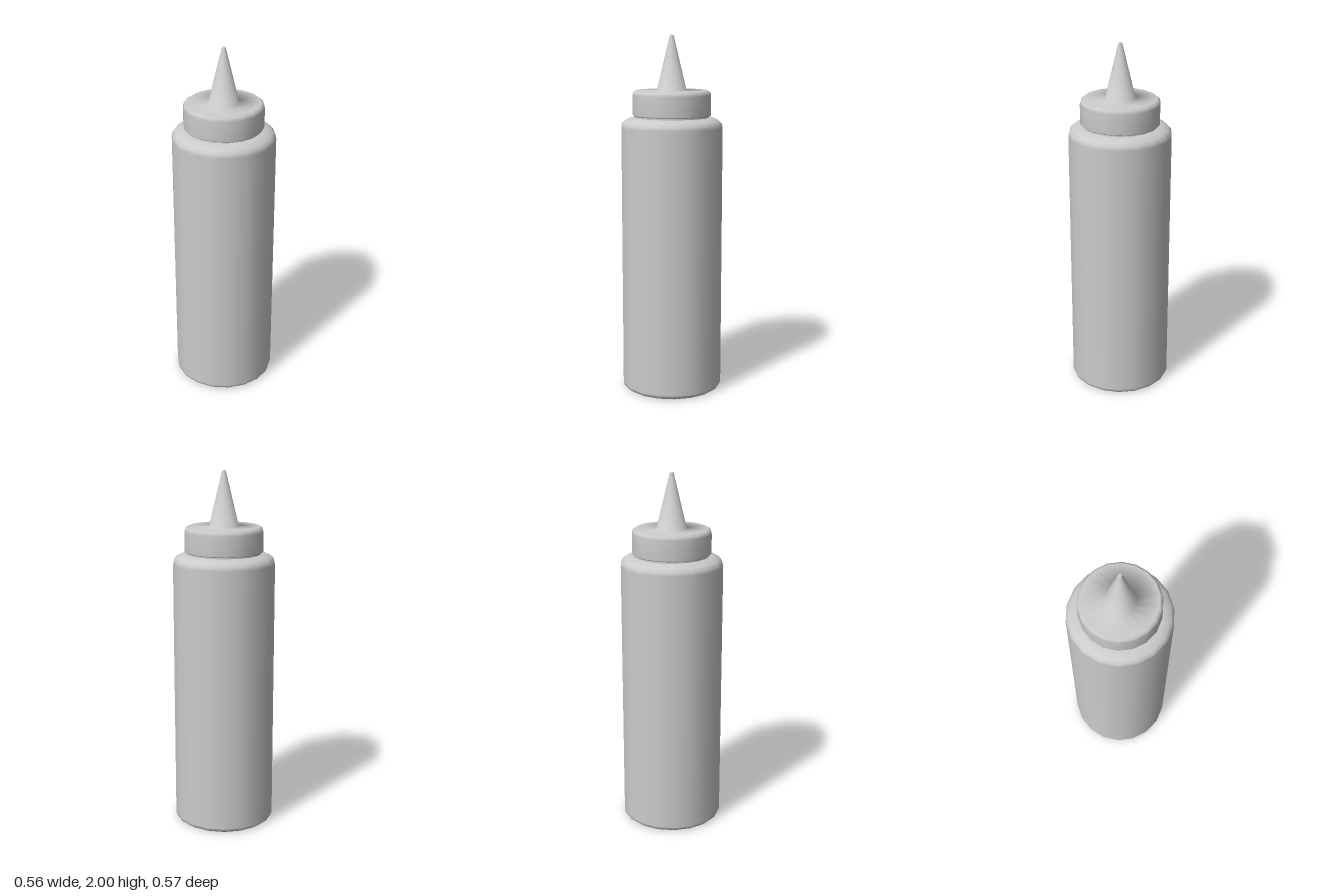
import * as THREE from 'three';

const SIDES = 18;

// Turned part from [radius, height] pairs, listed bottom to top
function turned(name, profile, material) {
  const points = profile.map(([r, y]) => new THREE.Vector2(r, y));
  const mesh = new THREE.Mesh(new THREE.LatheGeometry(points, SIDES), material);
  mesh.name = name;
  return mesh;
}

export function createModel() {
  const group = new THREE.Group();
  group.name = 'squeezeBottle';
  const material = new THREE.MeshStandardMaterial({ color: 0xcccccc });

  // Bottle with a small base bevel, rounded shoulder and short neck
  group.add(turned('bottle', [
    [0, 0], [0.268, 0], [0.28, 0.01], [0.284, 0.025],
    [0.284, 1.495], [0.28, 1.515], [0.265, 1.532], [0.235, 1.546], [0.207, 1.549],
  ], material));
  group.add(turned('neck', [[0.207, 1.545], [0.207, 1.57]], material));

  // Screw cap flowing into the tapered nozzle
  group.add(turned('capAndNozzle', [
    [0, 1.557], [0.212, 1.557], [0.219, 1.563],
    [0.219, 1.672], [0.215, 1.688], [0.2, 1.699],
    [0.083, 1.699], [0.011, 1.995], [0.008, 2], [0, 2],
  ], material));

  return group;
}
